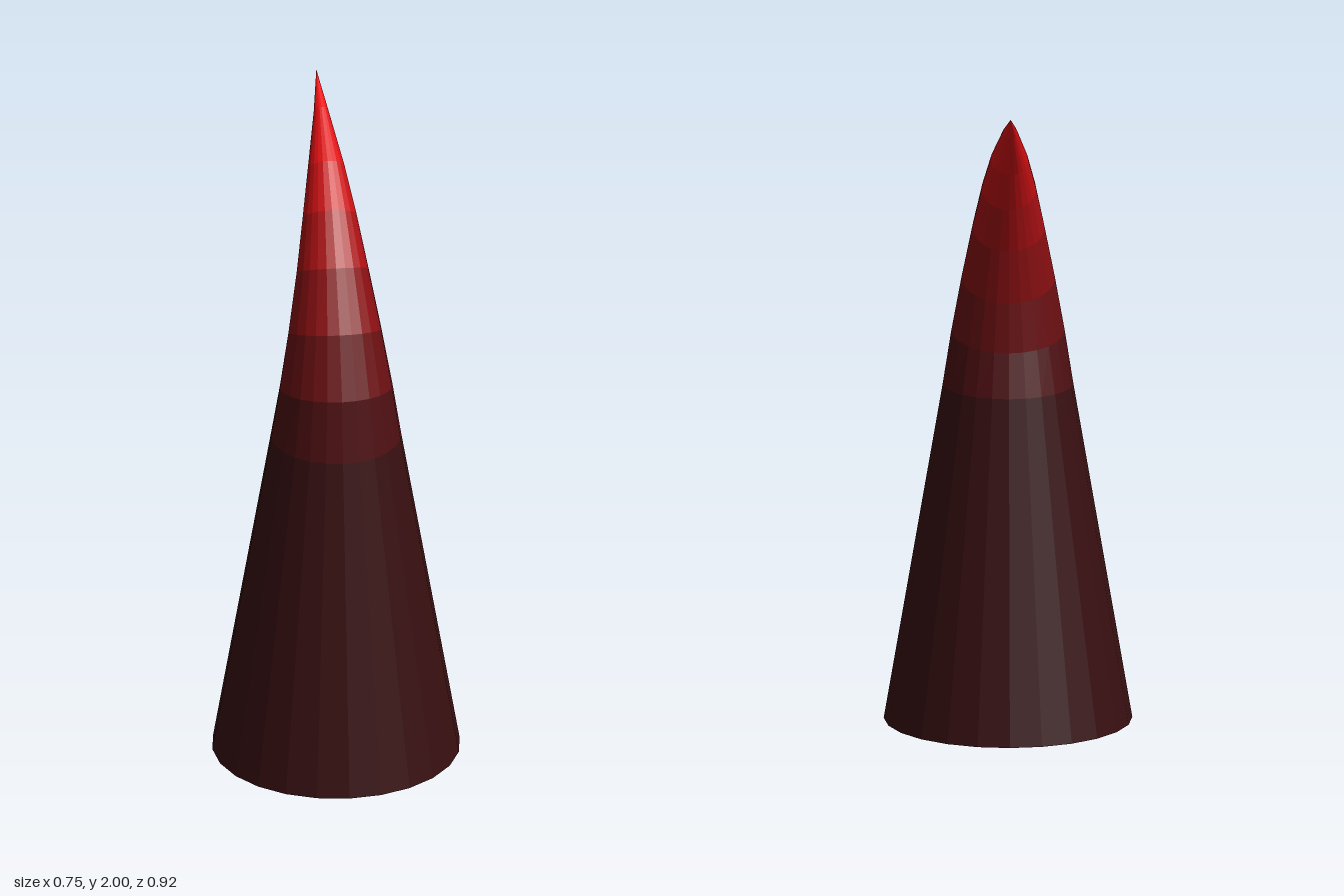
import * as THREE from 'three';

const SIDES = 24;

// Cross-sections along the curved spine: height, depth, radius, backward tilt (degrees)
const RINGS = [
  [0, 0.088, 0.375, 0],
  [1.04, 0.088, 0.197, 0],
  [1.205, 0.09, 0.171, 10],
  [1.378, 0.058, 0.141, 20],
  [1.55, -0.005, 0.109, 29],
  [1.691, -0.087, 0.082, 39],
  [1.807, -0.183, 0.056, 48],
  [1.927, -0.328, 0.022, 56],
  [2, -0.46, 0, 60],
];

// One colour per band, dark at the base and bright red at the tip
const COLORS = [0x380f11, 0x4e0f12, 0x6a0f12, 0x8a0f12, 0xaa1013, 0xc81013, 0xde1013, 0xee1013];

// Point on a tilted circular cross-section
function ringPoint([y, z, radius, tilt], i) {
  const a = (i / SIDES) * Math.PI * 2;
  const t = THREE.MathUtils.degToRad(tilt);
  const depth = Math.cos(a) * radius;
  return [Math.sin(a) * radius, y + depth * Math.sin(t), z + depth * Math.cos(t)];
}

// Strip of facets joining two neighbouring cross-sections
function bandGeometry(lower, upper) {
  const positions = [];
  for (let i = 0; i < SIDES; i++) {
    const a = ringPoint(lower, i), b = ringPoint(lower, i + 1);
    const c = ringPoint(upper, i + 1), d = ringPoint(upper, i);
    positions.push(...a, ...b, ...c);
    if (upper[2] > 0) positions.push(...a, ...c, ...d);
  }
  const geometry = new THREE.BufferGeometry();
  geometry.setAttribute('position', new THREE.Float32BufferAttribute(positions, 3));
  geometry.computeVertexNormals();
  return geometry;
}

export function createModel() {
  const horn = new THREE.Group();
  horn.name = 'horn';

  // Hollow horn, open at the bottom
  COLORS.forEach((color, i) => {
    const material = new THREE.MeshStandardMaterial({ color, flatShading: true, side: THREE.DoubleSide });
    const band = new THREE.Mesh(bandGeometry(RINGS[i], RINGS[i + 1]), material);
    band.name = i === 0 ? 'hornBase' : i === COLORS.length - 1 ? 'hornTip' : `hornBand${i}`;
    horn.add(band);
  });
  return horn;
}
